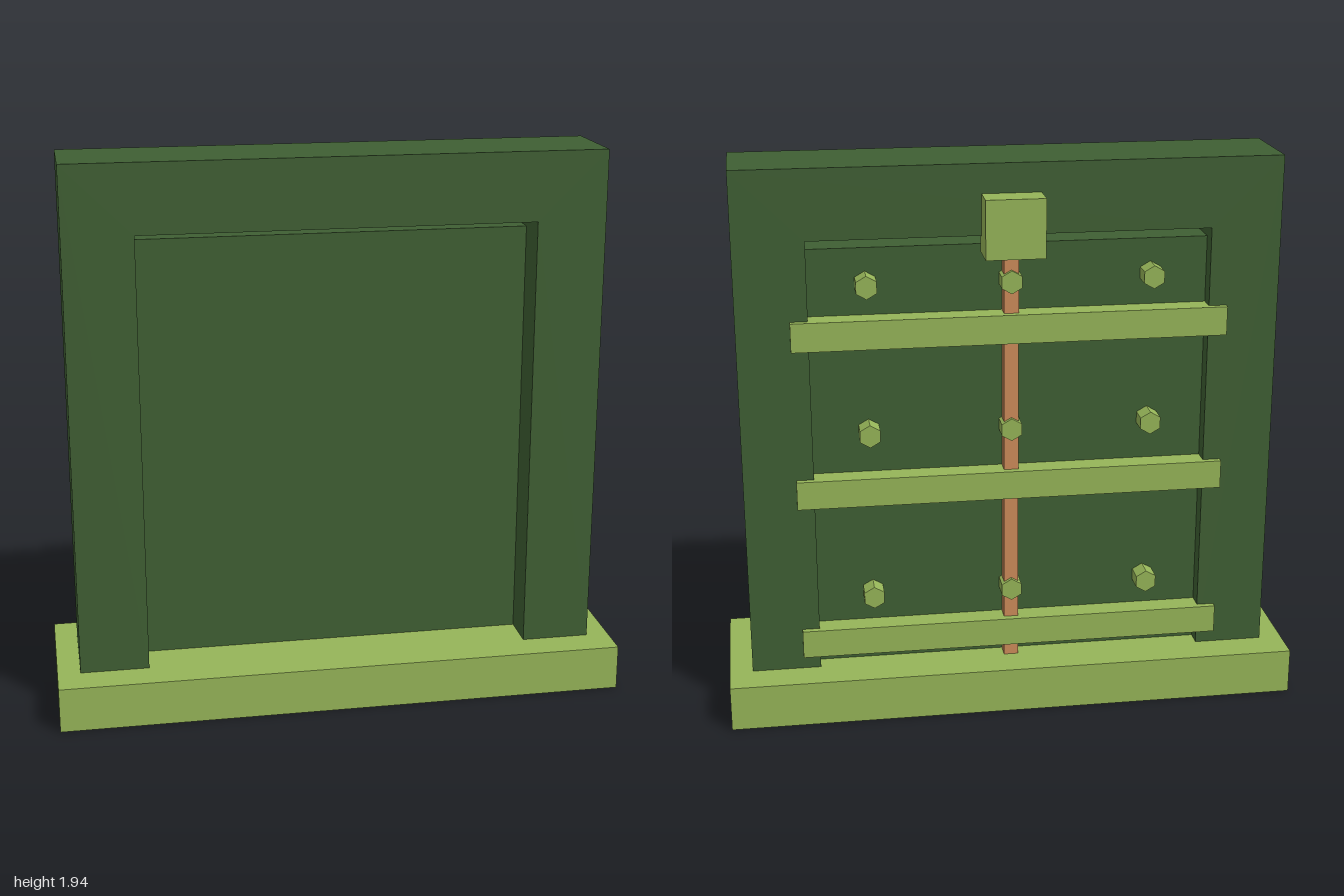
import * as THREE from 'three';

const material = (name, color) => {
  const m = new THREE.MeshStandardMaterial({ color });
  m.name = name;
  return m;
};

export function createModel() {
  const darkGreen = material('dark green', 0x3f5f33);
  const lightGreen = material('light green', 0x96b558);
  const copper = material('copper', 0xcd8c5a);
  const group = new THREE.Group();
  group.name = 'gate';

  const add = (name, geometry, mat) => {
    const mesh = new THREE.Mesh(geometry, mat);
    mesh.name = name;
    group.add(mesh);
    return mesh;
  };

  // Box given by its limits on each axis
  const box = (name, mat, [x0, x1], [y0, y1], [z0, z1]) =>
    add(name, new THREE.BoxGeometry(x1 - x0, y1 - y0, z1 - z0), mat)
      .position.set((x0 + x1) / 2, (y0 + y1) / 2, (z0 + z1) / 2);

  // Plinth
  box('base', lightGreen, [-1, 1], [0, 0.16], [-0.28, 0.28]);

  // Arch-shaped frame in one piece
  const outline = [
    [-0.92, 0.16], [-0.68, 0.16], [-0.68, 1.7], [0.68, 1.7],
    [0.68, 0.16], [0.92, 0.16], [0.92, 1.94], [-0.92, 1.94],
  ].map(([x, y]) => new THREE.Vector2(x, y));
  const frame = new THREE.ExtrudeGeometry(new THREE.Shape(outline), { depth: 0.316, bevelEnabled: false });
  frame.translate(0, 0, -0.158);
  add('frame', frame, darkGreen);

  // Recessed door panel with a narrow gap above it
  box('doorPanel', darkGreen, [-0.68, 0.68], [0.16, 1.66], [-0.1, 0.02]);

  // Lock housing and vertical rod on the back
  box('lockHousing', lightGreen, [-0.1, 0.1], [1.64, 1.84], [-0.26, -0.125]);
  box('lockRod', copper, [-0.025, 0.025], [0.16, 1.65], [-0.155, -0.105]);

  // Horizontal braces
  for (const y of [0.26, 0.82, 1.38]) {
    box('brace', lightGreen, [-0.74, 0.74], [y - 0.05, y + 0.05], [-0.18, -0.1]);
  }

  // Hexagonal bolts in three rows
  const boltGeometry = new THREE.CylinderGeometry(0.04, 0.04, 0.08, 6).toNonIndexed();
  boltGeometry.rotateX(Math.PI / 2);
  boltGeometry.computeVertexNormals();
  for (const y of [0.42, 1.02, 1.54]) {
    for (const x of [-0.485, 0, 0.485]) {
      add('bolt', boltGeometry, lightGreen).position.set(x, y, -0.13);
    }
  }

  return group;
}
